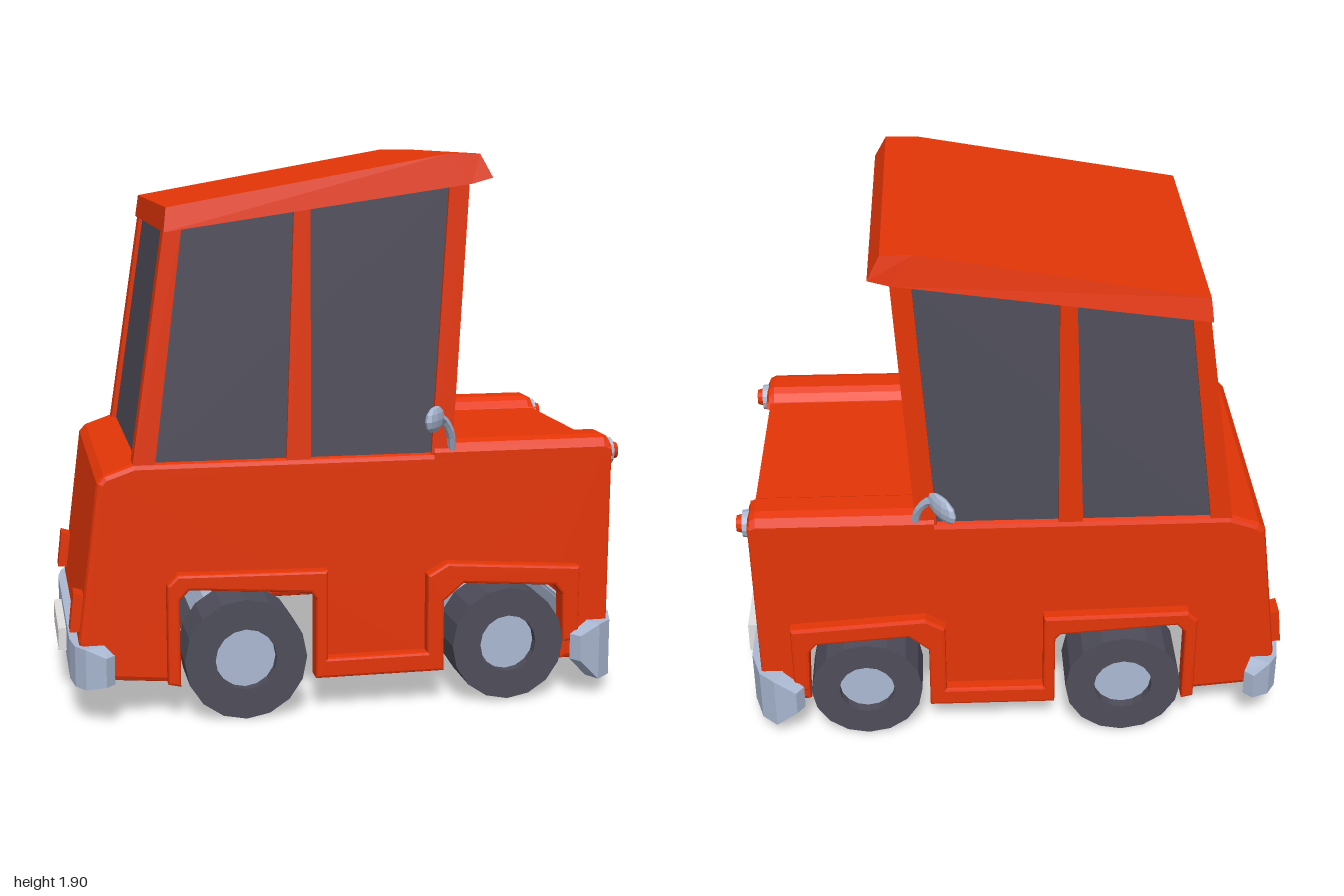
import * as THREE from 'three';

const mat = (name, color) => {
  const m = new THREE.MeshStandardMaterial({ color });
  m.name = name;
  return m;
};

export function createModel() {
  const car = new THREE.Group();
  car.name = 'car';
  const red = mat('orange red paint', 0xe43506);
  const dark = mat('dark glass and rubber', 0x4e4d5a);
  const chrome = mat('blue grey metal', 0xabb9d3);
  const blue = mat('grille blue', 0x778abb);
  const plateMat = mat('plate grey', 0xe2dfdf);

  const add = (name, geo, material, parent = car) => {
    const g = geo.index ? geo.toNonIndexed() : geo;
    g.computeVertexNormals();
    const mesh = new THREE.Mesh(g, material);
    mesh.name = name;
    parent.add(mesh);
    return mesh;
  };
  const box = (name, material, x0, x1, y0, y1, z0, z1, parent) =>
    add(name, new THREE.BoxGeometry(x1 - x0, y1 - y0, z1 - z0)
      .translate((x0 + x1) / 2, (y0 + y1) / 2, (z0 + z1) / 2), material, parent);

  // Closed solid through a list of equal rings, turned outwards by its signed volume
  const loft = (rings) => {
    const n = rings[0].length, tris = [];
    for (let i = 0; i + 1 < rings.length; i++) {
      for (let j = 0; j < n; j++) {
        const k = (j + 1) % n, a = rings[i], b = rings[i + 1];
        tris.push([a[j], a[k], b[k]], [a[j], b[k], b[j]]);
      }
    }
    const first = rings[0], last = rings[rings.length - 1];
    for (let j = 1; j + 1 < n; j++) {
      tris.push([first[0], first[j + 1], first[j]], [last[0], last[j], last[j + 1]]);
    }
    let volume = 0;
    const c = new THREE.Vector3(...first[0]);
    for (const t of tris) {
      const [p, q, r] = t.map((v) => new THREE.Vector3(...v).sub(c));
      volume += p.dot(q.cross(r));
    }
    if (volume < 0) tris.forEach((t) => t.reverse());
    const g = new THREE.BufferGeometry();
    g.setAttribute('position', new THREE.Float32BufferAttribute(tris.flat(2), 3));
    return g;
  };
  const shapeOf = (pts) => new THREE.Shape(pts.map((p) => new THREE.Vector2(...p)));
  const both = (fn) => [[1, 'left'], [-1, 'right']].forEach(([s, label]) => fn(s, label));
  // Side-profile plate between two distances from the middle, with optional chamfered edges
  const slabSide = (name, pts, zi, zo, s, bevel = 0) => {
    const depth = zo - zi - 2 * bevel;
    add(name, new THREE.ExtrudeGeometry(shapeOf(pts), {
      depth, bevelEnabled: bevel > 0, bevelThickness: bevel, bevelSize: bevel, bevelOffset: -bevel, bevelSegments: 2,
    }).translate(0, 0, s * (zi + zo) / 2 - depth / 2), red);
  };

  // Hollow body shell: upper outline wraps over the car, arches cut into both sides
  const upper = [[0.865, 0.12], [0.921, 0.82], [0.908, 0.882], [-0.75, 0.885], [-0.85, 0.85],
    [-0.874, 0.825], [-0.944, 0.28], [-0.93, 0.15], [-0.83, 0.14]];
  const rearArch = [[-0.607, 0.12], [-0.607, 0.42], [-0.575, 0.455], [-0.16, 0.425], [-0.142, 0.4], [-0.142, 0.12]];
  const frontArch = [[0.31, 0.12], [0.31, 0.37], [0.38, 0.43], [0.71, 0.405], [0.737, 0.37], [0.745, 0.12]];
  const sideOutline = [...upper, ...rearArch, ...frontArch];
  for (let i = 0; i + 1 < upper.length; i++) {
    const [a, b] = [upper[i], upper[i + 1]];
    const dx = b[0] - a[0], dy = b[1] - a[1], l = Math.hypot(dx, dy);
    const nx = -dy / l * 0.015, ny = dx / l * 0.015;
    add('bodySkin', loft([-0.495, 0.495].map((z) => [[...a, z], [...b, z],
      [b[0] + nx, b[1] + ny, z], [a[0] + nx, a[1] + ny, z]])), red);
  }

  const fender = [[-0.65, 0.13], [-0.65, 0.475], [-0.615, 0.51], [-0.1, 0.5], [-0.1, 0.19], [0.25, 0.19],
    [0.25, 0.465], [0.32, 0.505], [0.8, 0.47], [0.8, 0.2], [0.743, 0.2],
    ...frontArch.slice(0, 5).reverse(), ...rearArch.slice().reverse()];
  // Slope of the cabin sides
  const zAt = (y) => 0.51 - (y - 0.885) * 0.042;
  // Horizontal section of a cabin post or pane at height y, sloping from xa,ya to xb,yb
  const ring = (xa, xb, ya, yb, depth, s, inset = 0) => [
    [xa, ya, s * (zAt(ya) - inset)], [xb, yb, s * (zAt(yb) - inset)],
    [xb, yb, s * (zAt(yb) - inset - depth)], [xa, ya, s * (zAt(ya) - inset - depth)]];
  const post = (name, b0, b1, t0, t1, yt0, yt1, depth0, depth1, s) =>
    add(name, loft([ring(b0, b1, 0.87, 0.87, depth0, s), ring(t0, t1, yt0, yt1, depth1, s)]), red);

  both((s, side) => {
    slabSide(side + 'SidePanel', sideOutline, 0.473, 0.517, s, 0.02);
    slabSide(side + 'FenderTrim', fender, 0.48, 0.563, s, 0.01);

    // Raised rounded ridge along the hood edge and its front pillar
    add(side + 'HoodRidge', loft([[0.28, 0], [0.895, 0], [0.915, 0.01], [0.924, 0.03]].map(([x, drop]) =>
      [[0.33, 0.86], [0.34, 0.885], [0.365, 0.91 - drop], [0.39, 0.925 - drop], [0.47, 0.925 - drop],
        [0.5, 0.915 - drop], [0.517, 0.885 - drop], [0.517, 0.85]].map(([z, y]) => [x, y, s * z]))), red);
    slabSide(side + 'FrontPillar', [[0.85, 0.12], [0.918, 0.12], [0.923, 0.885], [0.87, 0.885]], 0.39, 0.517, s, 0.008);

    // Cabin posts and side window
    post(side + 'FrontPost', 0.27, 0.343, 0.335, 0.405, 1.8, 1.81, 0.168, 0.117, s);
    post(side + 'MiddlePost', -0.235, -0.15, -0.2, -0.145, 1.73, 1.74, 0.05, 0.05, s);
    post(side + 'RearPost', -0.755, -0.68, -0.635, -0.575, 1.66, 1.67, 0.08, 0.08, s);
    add(side + 'SideWindow', loft([ring(-0.7, 0.3, 0.875, 0.875, 0.02, s, 0.013),
      ring(-0.595, 0.365, 1.66, 1.8, 0.02, s, 0.013)]), dark);

    // Headlight
    const lamp = new THREE.Group();
    lamp.name = side + 'Headlight';
    lamp.position.set(0.92, 0.855, s * 0.438);
    lamp.rotation.z = -Math.PI / 2;
    car.add(lamp);
    add('lampRing', new THREE.CylinderGeometry(0.047, 0.05, 0.026, 12).translate(0, 0.011, 0), chrome, lamp);
    add('lampLens', new THREE.CylinderGeometry(0.028, 0.034, 0.022, 12).translate(0, 0.034, 0), red, lamp);

    // Wing mirror
    const curve = new THREE.CatmullRomCurve3([[0.345, 0.89, 0.5], [0.33, 0.96, 0.53], [0.29, 1.015, 0.565],
      [0.25, 1.025, 0.61]].map(([x, y, z]) => new THREE.Vector3(x, y, z * s)));
    add(side + 'MirrorArm', new THREE.TubeGeometry(curve, 8, 0.015, 6), chrome);
    const head = add(side + 'MirrorHead', new THREE.SphereGeometry(1, 10, 6).scale(0.082, 0.045, 0.02), chrome);
    head.position.set(0.252, 1.02, s * 0.618);
    head.rotation.y = s * 0.98;

    // Tail light
    slabSide(side + 'TailLight', [[-0.92, 0.31], [-0.972, 0.31], [-0.957, 0.445], [-0.91, 0.43]], 0.4, 0.48, s);
  });

  // Windscreen and rear window
  const pane = (name, xb, xt, yt, zb, zt) => add(name, loft([
    [[xb, 0.87, -zb], [xb, 0.87, zb], [xb + 0.02, 0.87, zb], [xb + 0.02, 0.87, -zb]],
    [[xt, yt, -zt], [xt, yt, zt], [xt + 0.02, yt, zt], [xt + 0.02, yt, -zt]]]), dark);
  pane('windscreen', 0.29, 0.355, 1.81, 0.4, 0.4);
  pane('rearWindow', -0.738, -0.62, 1.67, 0.45, 0.44);

  // Sloping roof with a front lip
  add('roof', loft([[-0.64, 1.65, -0.63, 1.73], [0.4, 1.8, 0.32, 1.9], [0.472, 1.82, 0.43, 1.9]]
    .map(([xb, yb, xt, yt]) => [[xb, yb, -0.52], [xb, yb, 0.52], [xt, yt, 0.503], [xt, yt, -0.503]])), red);

  // Bumpers: sections from the end to the middle, mirrored across z
  const bumper = (name, half) => {
    const section = ([xo, zo, xi, zi, y0, y1], s) =>
      [[xo, y0, zo * s], [xo, y1, zo * s], [xi, y1, zi * s], [xi, y0, zi * s]];
    add(name, loft([...half.map((h) => section(h, 1)), ...half.slice().reverse().map((h) => section(h, -1))]), chrome);
  };
  bumper('frontBumper', [[0.79, 0.612, 0.763, 0.575, 0.14, 0.23], [0.87, 0.58, 0.84, 0.525, 0.06, 0.26],
    [0.925, 0.53, 0.85, 0.49, 0.06, 0.26], [0.96, 0.42, 0.85, 0.42, 0.06, 0.26]]);
  bumper('rearBumper', [[-0.86, 0.605, -0.83, 0.575, 0.15, 0.25], [-0.925, 0.56, -0.86, 0.52, 0.13, 0.27],
    [-0.958, 0.51, -0.87, 0.48, 0.13, 0.27], [-0.972, 0.42, -0.87, 0.42, 0.13, 0.27]]);
  box('frontPlate', plateMat, 0.95, 1, 0.1, 0.22, -0.19, 0.19);
  box('rearPlate', plateMat, -1, -0.96, 0.16, 0.24, -0.19, 0.19);

  // Grille leaning forward at the top; local x runs across the car
  const grille = new THREE.Group();
  grille.name = 'grille';
  grille.position.set(0.905, 0.24, 0);
  grille.rotation.set(0.1, Math.PI / 2, 0, 'YXZ');
  car.add(grille);
  const arch = (w, h) => [[-w, 0], [w, 0], [w, h - 0.09], [w * 0.84, h - 0.03], [w * 0.6, h],
    [-w * 0.6, h], [-w * 0.84, h - 0.03], [-w, h - 0.09]];
  const frame = shapeOf(arch(0.24, 0.42));
  frame.holes.push(shapeOf(arch(0.21, 0.38).map(([x, y]) => [x, y + 0.004])));
  add('grilleFrame', new THREE.ExtrudeGeometry(frame, { depth: 0.058, bevelEnabled: false }).translate(0, 0, -0.058), chrome, grille);
  add('grilleBack', new THREE.ExtrudeGeometry(shapeOf(arch(0.214, 0.392)), { depth: 0.03, bevelEnabled: false })
    .translate(0, 0, -0.045), blue, grille);
  for (const y of [0.053, 0.18, 0.307]) box('grilleBar', chrome, -0.21, 0.21, y - 0.014, y + 0.014, -0.025, -0.004, grille);

  // Wheels with recessed hubs on thick eight-sided axles
  for (const [name, x, y, R, hub, zo] of [['rear', -0.388, 0.212, 0.209, 0.105, 0.585], ['front', 0.537, 0.209, 0.2, 0.1, 0.573]]) {
    const rod = (part, radius, length, sides) =>
      add(name + part, new THREE.CylinderGeometry(radius, radius, length, sides).rotateX(Math.PI / 2), chrome).position.set(x, y, 0);
    rod('Hubs', hub + 0.002, 2 * zo - 0.07, 16);
    rod('Axle', 0.115, 0.78, 8);
    both((s, side) => {
      const h = (zo - 0.38) / 2;
      const profile = [[hub, -h], [R, -h], [R, h], [hub, h], [hub, -h]].map((p) => new THREE.Vector2(...p));
      const tyre = add(name + side + 'Tyre', new THREE.LatheGeometry(profile, 16).rotateX(Math.PI / 2), dark);
      tyre.position.set(x, y, s * (zo - h));
    });
  }
  return car;
}
